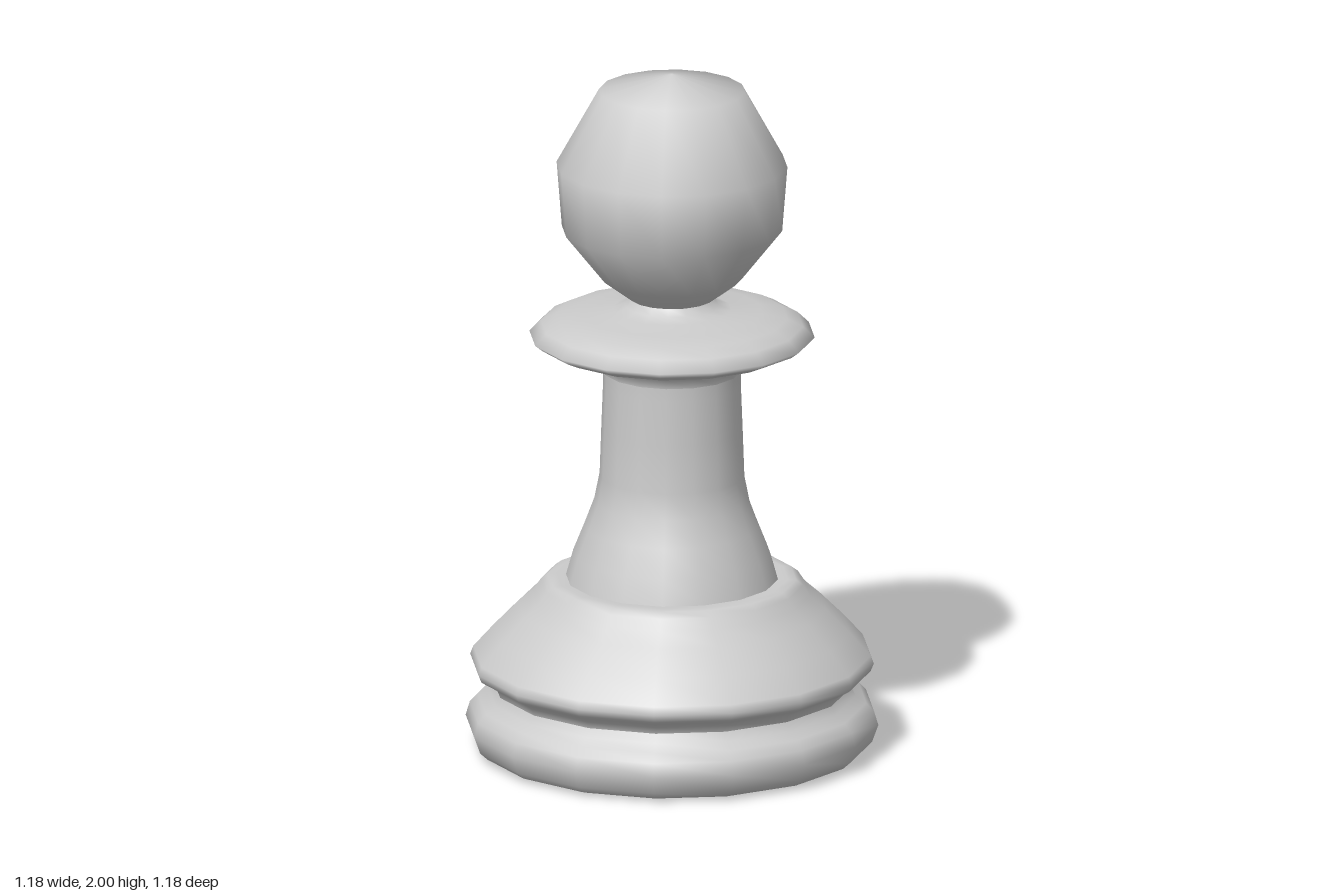
import * as THREE from 'three';

const SIDES = 16;

export function createModel() {
  const model = new THREE.Group();
  const material = new THREE.MeshStandardMaterial({ color: 0xcccccc });

  // Turns a profile of [radius, height] points, listed from bottom to top.
  function turn(name, profile) {
    const points = profile.map(([r, y]) => new THREE.Vector2(r, y));
    const mesh = new THREE.Mesh(new THREE.LatheGeometry(points, SIDES), material);
    mesh.name = name;
    model.add(mesh);
  }

  // Flat underside
  turn('underside', [[0, 0], [0.52, 0]]);

  // Rounded foot ring, up to the middle of the groove
  turn('footRing', [
    [0.52, 0], [0.55, 0.01], [0.572, 0.03], [0.59, 0.08], [0.578, 0.12],
    [0.555, 0.145], [0.525, 0.165], [0.512, 0.19],
  ]);

  // Sloping base with a rounded lower rim and a flat shoulder
  turn('base', [
    [0.512, 0.19], [0.52, 0.21], [0.545, 0.227], [0.568, 0.24], [0.577, 0.262],
    [0.568, 0.285], [0.51, 0.35], [0.44, 0.42], [0.395, 0.46], [0.375, 0.49],
    [0.355, 0.505], [0.33, 0.507], [0.3, 0.505],
  ]);

  // Flared stem
  turn('stem', [
    [0.303, 0.505], [0.282, 0.58], [0.25, 0.66], [0.222, 0.735], [0.207, 0.81],
    [0.202, 0.95], [0.197, 1.08], [0.197, 1.12],
  ]);

  // Thin collar disc, narrowing to the neck
  turn('collar', [
    [0.197, 1.12], [0.203, 1.148], [0.235, 1.17], [0.345, 1.19], [0.385, 1.208],
    [0.408, 1.226], [0.375, 1.258], [0.33, 1.28], [0.26, 1.293], [0.17, 1.302],
    [0.135, 1.315], [0.12, 1.335],
  ]);

  // Faceted ball head
  turn('head', [
    [0.12, 1.335], [0.2, 1.395], [0.315, 1.54], [0.33, 1.73], [0.208, 1.95], [0, 2],
  ]);

  return model;
}
